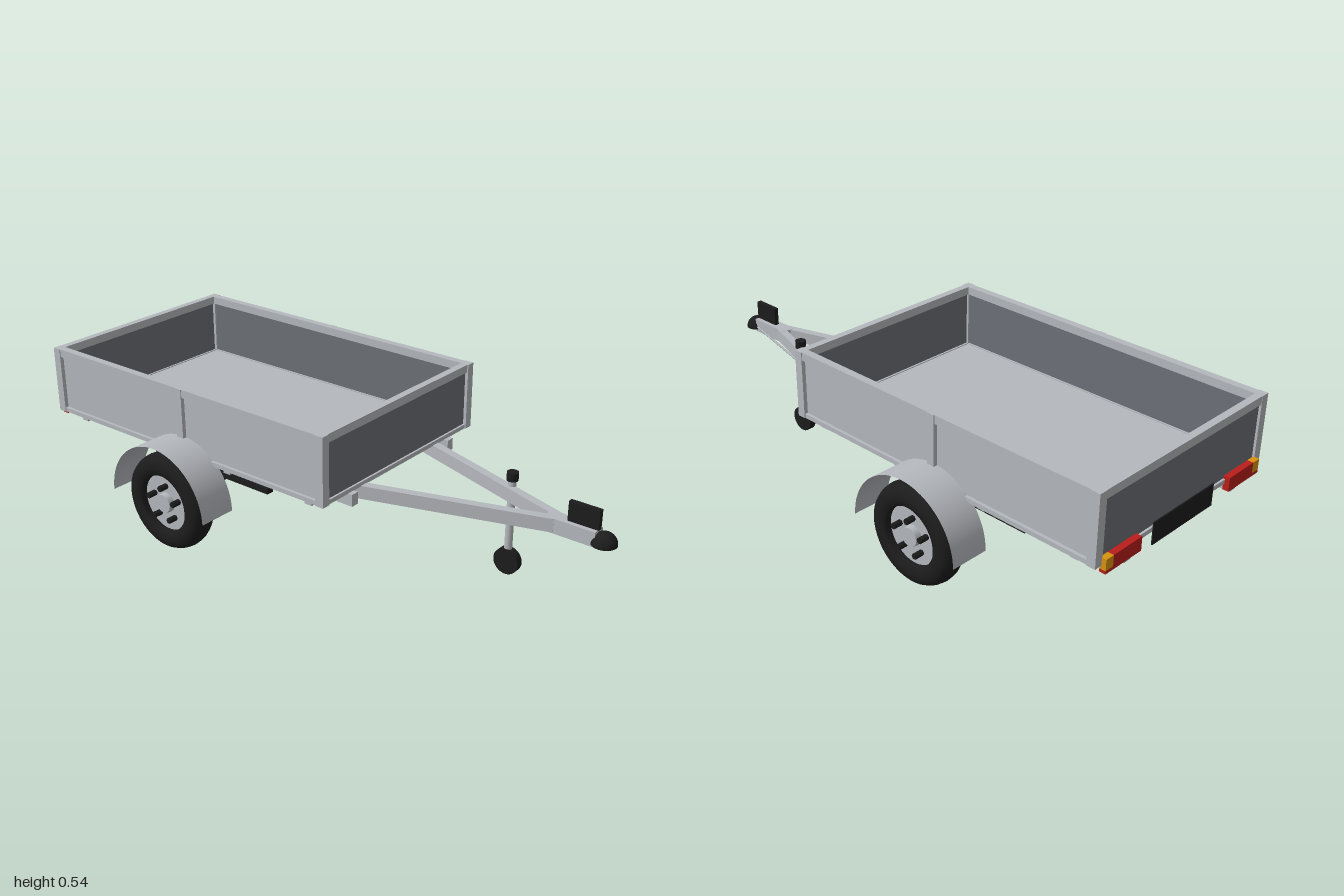
import * as THREE from 'three';

const mat = (name, color) => {
  const m = new THREE.MeshStandardMaterial({ color, side: THREE.DoubleSide });
  m.name = name;
  return m;
};

export function createModel() {
  const root = new THREE.Group();
  root.name = 'utilityTrailer';
  const steel = mat('galvanisedSteel', 0xb5b8bd);
  const panel = mat('darkPanel', 0x6d7077);
  const black = mat('blackRubber', 0x1c1c1d);
  const red = mat('redLens', 0xba1e1a);
  const amber = mat('amberLens', 0xd9920f);

  const add = (name, geo, material, x = 0, y = 0, z = 0, parent = root) => {
    const m = new THREE.Mesh(geo, material);
    m.name = name;
    m.position.set(x, y, z);
    parent.add(m);
    return m;
  };
  // box given by its minimum and maximum on each axis
  const box = (name, material, x0, x1, y0, y1, z0, z1) =>
    add(name, new THREE.BoxGeometry(x1 - x0, y1 - y0, z1 - z0), material,
      (x0 + x1) / 2, (y0 + y1) / 2, (z0 + z1) / 2);
  // as box, with x measured outward from the centre line on side s
  const sideBox = (s, name, material, x0, x1, ...yz) =>
    s > 0 ? box(name, material, x0, x1, ...yz) : box(name, material, -x1, -x0, ...yz);
  // cylinder lying along x
  const xCylinder = (name, r, len, material, x, y, z, seg = 32) => {
    const m = add(name, new THREE.CylinderGeometry(r, r, len, seg), material, x, y, z);
    m.rotation.z = Math.PI / 2;
    return m;
  };

  const back = -0.985, front = 0.228, bottom = 0.31, top = 0.543, axleZ = -0.375, axleY = 0.167;

  // Load floor
  box('floor', steel, -0.38, 0.38, 0.311, 0.322, back + 0.015, front - 0.015);

  // End walls: dark board in a steel frame
  for (const [name, z0] of [['front', front - 0.027], ['back', back]]) {
    const z1 = z0 + 0.027;
    box(name + 'Board', panel, -0.37, 0.37, 0.315, 0.52, z0 + 0.008, z1 - 0.008);
    box(name + 'TopRail', steel, -0.367, 0.367, 0.515, top, z0 + 0.001, z1 - 0.001);
    box(name + 'BottomRail', steel, -0.367, 0.367, bottom, 0.325, z0 + 0.001, z1 - 0.001);
  }

  for (const s of [1, -1]) {
    // Side walls: steel outside, dark inside
    sideBox(s, 'sideOuterBoard', steel, 0.378, 0.383, 0.315, 0.52, back + 0.02, front - 0.02);
    sideBox(s, 'sideInnerBoard', panel, 0.373, 0.378, 0.315, 0.52, back + 0.02, front - 0.02);
    sideBox(s, 'sideTopRail', steel, 0.367, 0.394, 0.515, top, back + 0.027, front - 0.027);
    sideBox(s, 'sideBottomRail', steel, 0.367, 0.394, bottom, 0.325, back + 0.027, front - 0.027);
    sideBox(s, 'sideMiddlePost', steel, 0.38, 0.397, bottom, top, axleZ - 0.012, axleZ + 0.016);
    for (const z of [back, front - 0.027])
      sideBox(s, 'cornerPost', steel, 0.367, 0.397, bottom, top, z, z + 0.03);

    // Chassis rail
    sideBox(s, 'chassisRail', steel, 0.243, 0.272, 0.27, 0.311, back - 0.002, 0.243);

    // Converging drawbar
    const a = new THREE.Vector3(s * 0.012, 0.29, 0.80), b = new THREE.Vector3(s * 0.25, 0.29, 0.05);
    const bar = add('drawbar', new THREE.BoxGeometry(0.029, 0.045, a.distanceTo(b)), steel);
    bar.position.copy(a).add(b).multiplyScalar(0.5);
    bar.lookAt(a);

    // Leaf spring
    sideBox(s, 'lowerLeaf', black, 0.246, 0.272, 0.2, 0.218, -0.635, -0.11);
    sideBox(s, 'upperLeaf', black, 0.246, 0.272, 0.22, 0.236, -0.58, -0.165);

    // Mudguard: open half cylinder
    const guard = add('mudguard', new THREE.CylinderGeometry(0.207, 0.207, 0.135, 40, 1, true, 0, Math.PI),
      steel, s * 0.4475, axleY, axleZ);
    guard.rotation.z = Math.PI / 2;

    // Wheel, built around its own y axis and turned outward
    const wheel = new THREE.Group();
    wheel.name = 'wheel';
    wheel.position.set(s * 0.449, axleY, axleZ);
    wheel.rotation.z = -s * Math.PI / 2;
    root.add(wheel);
    const profile = [[0.098, -0.036], [0.105, -0.045], [0.125, -0.048], [0.143, -0.045], [0.156, -0.036],
      [0.164, -0.02], [0.167, 0], [0.164, 0.02], [0.156, 0.036], [0.143, 0.045], [0.125, 0.048],
      [0.105, 0.045], [0.098, 0.036], [0.098, 0.01]].map(p => new THREE.Vector2(...p));
    add('tyre', new THREE.LatheGeometry(profile, 48), black, 0, 0, 0, wheel);
    // Rim face sits deep in the tyre, with long studs standing out of it
    add('rim', new THREE.CylinderGeometry(0.099, 0.099, 0.059, 40), steel, 0, -0.0095, 0, wheel);
    add('hubCap', new THREE.CylinderGeometry(0.032, 0.034, 0.02, 12), steel, 0, 0.03, 0, wheel);
    for (let i = 0; i < 5; i++) {
      const t = i * Math.PI * 2 / 5;
      add('wheelNut', new THREE.CylinderGeometry(0.01, 0.01, 0.034, 6), black,
        -s * Math.cos(t) * 0.058, 0.035, Math.sin(t) * 0.058, wheel);
    }

    // Tail lamp with amber outer end
    sideBox(s, 'tailLampRed', red, 0.213, 0.338, 0.289, 0.336, -1.0, -0.979);
    sideBox(s, 'tailLampAmber', amber, 0.338, 0.37, 0.299, 0.336, -1.0, -0.979);
    sideBox(s, 'tailLampBase', red, 0.338, 0.37, 0.289, 0.299, -1.0, -0.979);
  }

  // Cross members with ends showing outside the rails
  for (const z of [0.145, -0.2, -0.545, -0.89])
    box('crossMember', steel, -0.365, 0.365, 0.283, 0.311, z - 0.014, z + 0.014);

  // Axle and number plate
  xCylinder('axle', 0.019, 0.83, black, 0, axleY, axleZ, 24);
  box('rearPlate', black, -0.145, 0.145, 0.268, 0.342, -0.989, -0.985);

  // Tongue, coupling dome, lever and handle rod
  box('tongue', steel, -0.024, 0.024, 0.264, 0.313, 0.77, 0.94);
  add('couplingDome', new THREE.SphereGeometry(0.04, 32, 12, 0, Math.PI * 2, 0, Math.PI / 2), black, 0, 0.272, 0.96);
  const base = add('couplingBase', new THREE.CircleGeometry(0.04, 32), black, 0, 0.272, 0.96);
  base.rotation.x = Math.PI / 2;
  box('couplingLever', black, -0.008, 0.008, 0.313, 0.378, 0.84, 0.943);
  const rodPath = new THREE.LineCurve3(new THREE.Vector3(0.045, 0.298, 0.9), new THREE.Vector3(0.045, 0.222, 0.62));
  add('handleRod', new THREE.TubeGeometry(rodPath, 1, 0.004, 8), steel);

  // Jockey wheel
  add('jockeyTube', new THREE.CylinderGeometry(0.013, 0.013, 0.25, 20), steel, 0.09, 0.207, 0.59);
  add('jockeyCap', new THREE.CylinderGeometry(0.019, 0.019, 0.028, 20), black, 0.09, 0.345, 0.59);
  xCylinder('jockeyWheel', 0.045, 0.026, black, 0.09, 0.046, 0.59);

  return root;
}
